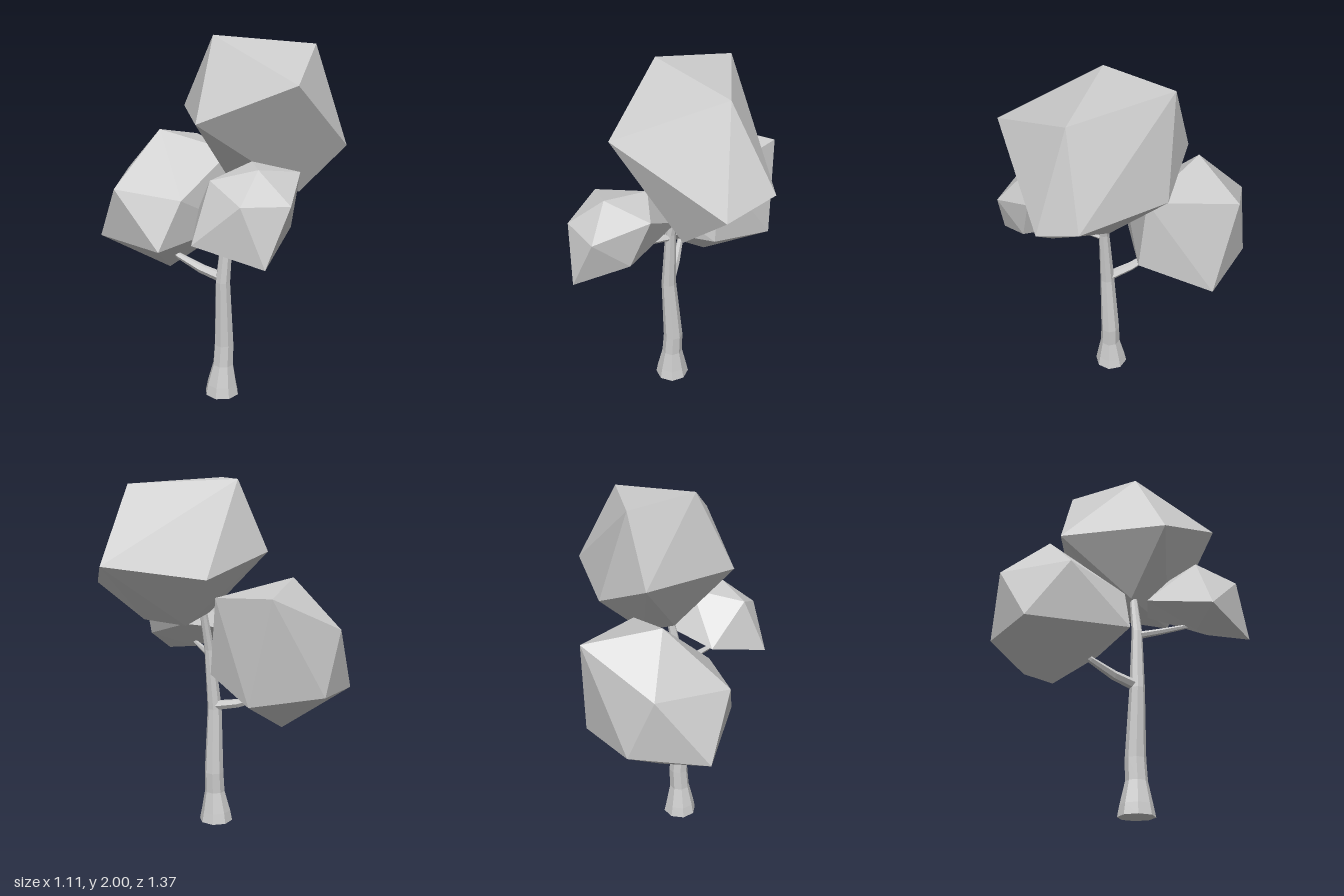
import * as THREE from 'three';
import { ConvexGeometry } from 'three/addons/geometries/ConvexGeometry.js';

const material = new THREE.MeshStandardMaterial({ color: 0xcccccc, flatShading: true });

// Faceted, tapered limb: rings [x, y, z, radius], all square to one axis, capped at both ends
function limb(name, axis, sides, rings) {
  const d = new THREE.Vector3(...axis).normalize();
  const u = new THREE.Vector3(0, 0, 1).cross(d);
  if (u.length() < 0.3) u.set(1, 0, 0);
  u.addScaledVector(d, -u.dot(d)).normalize();
  const v = d.clone().cross(u);
  const pos = [], index = [];
  for (const [x, y, z, r] of rings) {
    for (let j = 0; j < sides; j++) {
      const t = ((j + 0.5) / sides) * Math.PI * 2;
      const p = new THREE.Vector3(x, y, z)
        .addScaledVector(u, r * Math.cos(t)).addScaledVector(v, r * Math.sin(t));
      pos.push(p.x, p.y, p.z);
    }
  }
  const last = (rings.length - 1) * sides;
  for (let i = 0; i < rings.length - 1; i++) {
    for (let j = 0; j < sides; j++) {
      const a = i * sides + j, b = i * sides + (j + 1) % sides;
      index.push(a, b, a + sides, b, b + sides, a + sides);
    }
  }
  for (let j = 1; j < sides - 1; j++) {
    index.push(0, j + 1, j, last, last + j, last + j + 1);
  }
  const g = new THREE.BufferGeometry();
  g.setAttribute('position', new THREE.Float32BufferAttribute(pos, 3));
  g.setIndex(index);
  const flat = g.toNonIndexed();
  flat.computeVertexNormals();
  const mesh = new THREE.Mesh(flat, material);
  mesh.name = name;
  return mesh;
}

// Leaf clump: irregular twenty-sided solid around twelve corners
function clump(name, corners) {
  const mesh = new THREE.Mesh(
    new ConvexGeometry(corners.map((c) => new THREE.Vector3(...c))), material);
  mesh.name = name;
  return mesh;
}

export function createModel() {
  const tree = new THREE.Group();
  tree.name = 'tree';

  // Trunk with a flared foot and a slight bend
  tree.add(limb('trunk', [0, 1, 0], 8, [
    [-0.1, 0, 0.095, 0.098], [-0.1, 0.06, 0.095, 0.086], [-0.095, 0.18, 0.1, 0.059],
    [-0.087, 0.3, 0.1, 0.056], [-0.105, 0.68, 0.107, 0.042],
    [-0.08, 1.03, 0.125, 0.03], [-0.02, 1.3, 0.135, 0.02],
  ]));

  // Side branches reaching into the lower clumps
  tree.add(limb('backBranch', [-0.1, 0.2, -0.7], 6, [
    [-0.1, 0.7, 0.1, 0.03], [-0.125, 0.725, -0.04, 0.026],
    [-0.155, 0.775, -0.19, 0.018], [-0.16, 0.84, -0.3, 0.014],
  ]));
  tree.add(limb('frontBranch', [-0.6, 0.05, 0.8], 6, [
    [-0.08, 1.01, 0.13, 0.021], [-0.16, 1.02, 0.23, 0.017], [-0.27, 1.04, 0.37, 0.011],
  ]));

  // Foliage
  tree.add(clump('topFoliage', [
    [-0.16, 2, 0.09], [0.325, 1.95, 0.37], [0.135, 1.965, -0.195], [-0.155, 1.785, 0.63],
    [-0.365, 1.58, 0.165], [0.555, 1.525, 0.375], [0.38, 1.43, 0.55], [0.02, 1.6, -0.31],
    [0.31, 1.46, -0.12], [0.12, 1.205, 0.44], [0.13, 1.19, 0.14], [-0.054, 1.25, 0.106],
  ]));
  tree.add(clump('backFoliage', [
    [-0.08, 1.465, -0.41], [0.31, 1.385, -0.5], [0.14, 1.355, -0.06], [-0.09, 1.205, -0.685],
    [-0.42, 1.17, -0.42], [-0.27, 1.14, -0.045], [0.335, 0.84, -0.385], [0.125, 0.935, -0.02],
    [-0.405, 0.875, -0.085], [-0.36, 0.85, -0.63], [0.05, 0.87, -0.67], [-0.065, 0.645, -0.36],
  ]));
  tree.add(clump('frontFoliage', [
    [-0.275, 1.39, 0.495], [-0.42, 1.335, 0.315], [-0.12, 1.385, 0.32], [-0.46, 1.25, 0.545],
    [-0.255, 1.24, 0.68], [-0.005, 1.345, 0.54], [-0.555, 1.04, 0.32], [-0.4, 0.955, 0.65],
    [-0.11, 1.09, 0.57], [-0.3, 1.0, 0.375], [-0.27, 1.13, 0.09], [0, 1.18, 0.24],
  ]));

  return tree;
}
